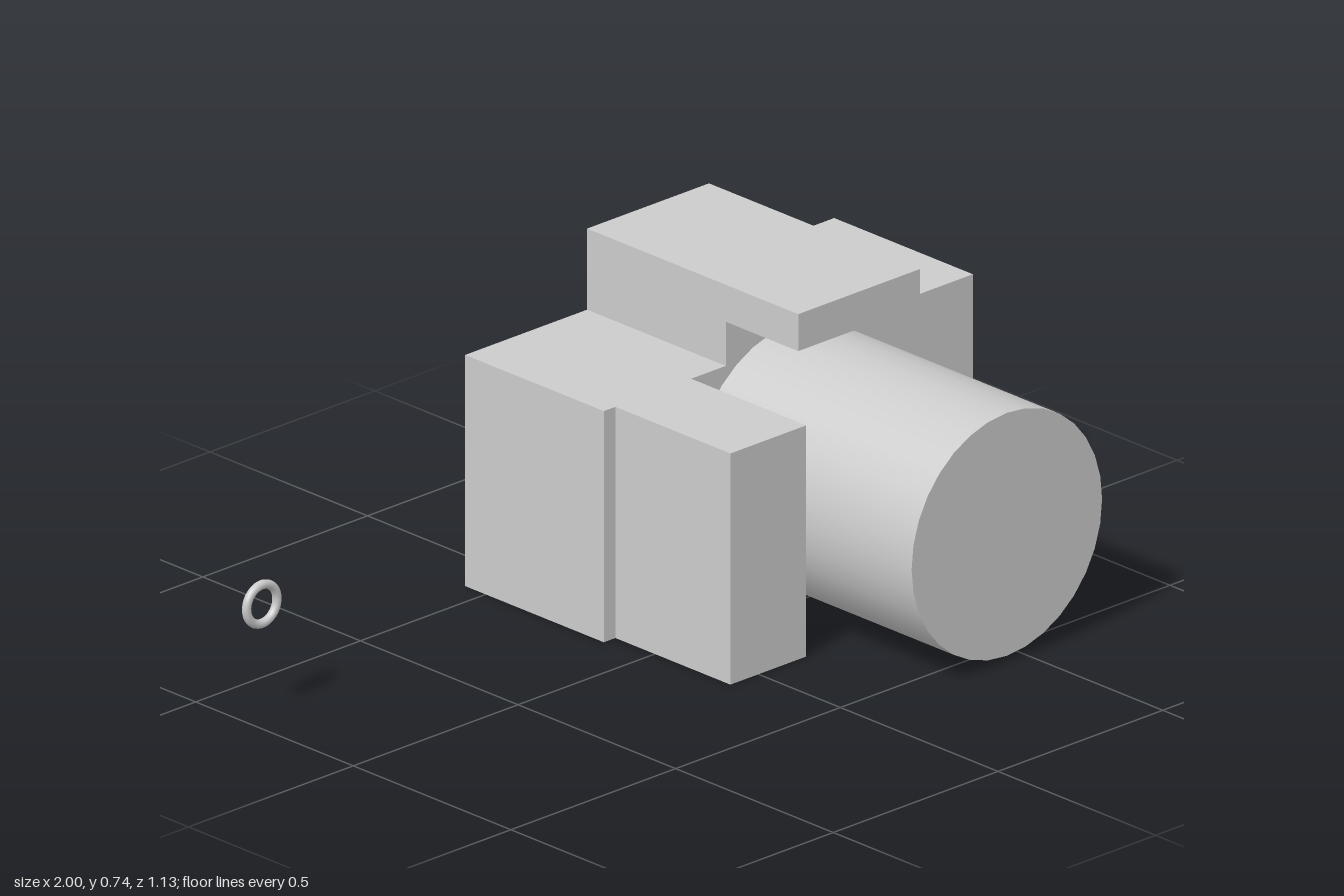
import * as THREE from 'three';

export function createModel() {
  const model = new THREE.Group();
  const grey = new THREE.MeshStandardMaterial({ color: 0xcccccc });

  function add(name, geometry, x = 0, y = 0, z = 0) {
    const mesh = new THREE.Mesh(geometry, grey);
    mesh.name = name;
    mesh.position.set(x, y, z);
    model.add(mesh);
    return mesh;
  }

  // Box given by its limits on each axis
  function block(name, [x0, x1], [y0, y1], [z0, z1]) {
    return add(name, new THREE.BoxGeometry(x1 - x0, y1 - y0, z1 - z0),
      (x0 + x1) / 2, (y0 + y1) / 2, (z0 + z1) / 2);
  }

  function rectangle(path, x0, x1, y0, y1) {
    path.moveTo(x0, y0).lineTo(x1, y0).lineTo(x1, y1).lineTo(x0, y1).closePath();
    return path;
  }

  const back = -0.565, front = -0.125, recess = 0.1;

  // Camera body: solid front, with a frame around the sunken screen behind it
  block('body', [-0.12, 1], [0, 0.55], [back + recess, front]);
  const frame = rectangle(new THREE.Shape(), -0.12, 1, 0, 0.55);
  frame.holes.push(rectangle(new THREE.Path(), 0.385, 0.95, 0.09, 0.425));
  add('screenFrame', new THREE.ExtrudeGeometry(frame, { depth: recess, bevelEnabled: false }), 0, 0, back);

  // Hand grip
  block('grip', [-0.085, 0.145], [0, 0.55], [front, 0.24]);

  // Flash housing: L-shaped side profile with an overhanging front
  const profile = new THREE.Shape();
  profile.moveTo(-back, 0.55).lineTo(-front, 0.55).lineTo(-front, 0.655)
    .lineTo(-0.105, 0.655).lineTo(-0.105, 0.743).lineTo(-back, 0.743).closePath();
  const flash = new THREE.ExtrudeGeometry(profile, { depth: 0.37, bevelEnabled: false });
  flash.rotateY(Math.PI / 2);
  add('flashHousing', flash, 0.25, 0, 0);

  // Lens barrel
  const barrel = new THREE.CylinderGeometry(0.289, 0.289, 0.69, 32);
  barrel.rotateX(Math.PI / 2);
  add('lens', barrel, 0.443, 0.303, 0.22);

  // Small separate strap ring
  add('strapRing', new THREE.TorusGeometry(0.046, 0.0105, 12, 48), -0.943, 0.262, -0.35);

  return model;
}
